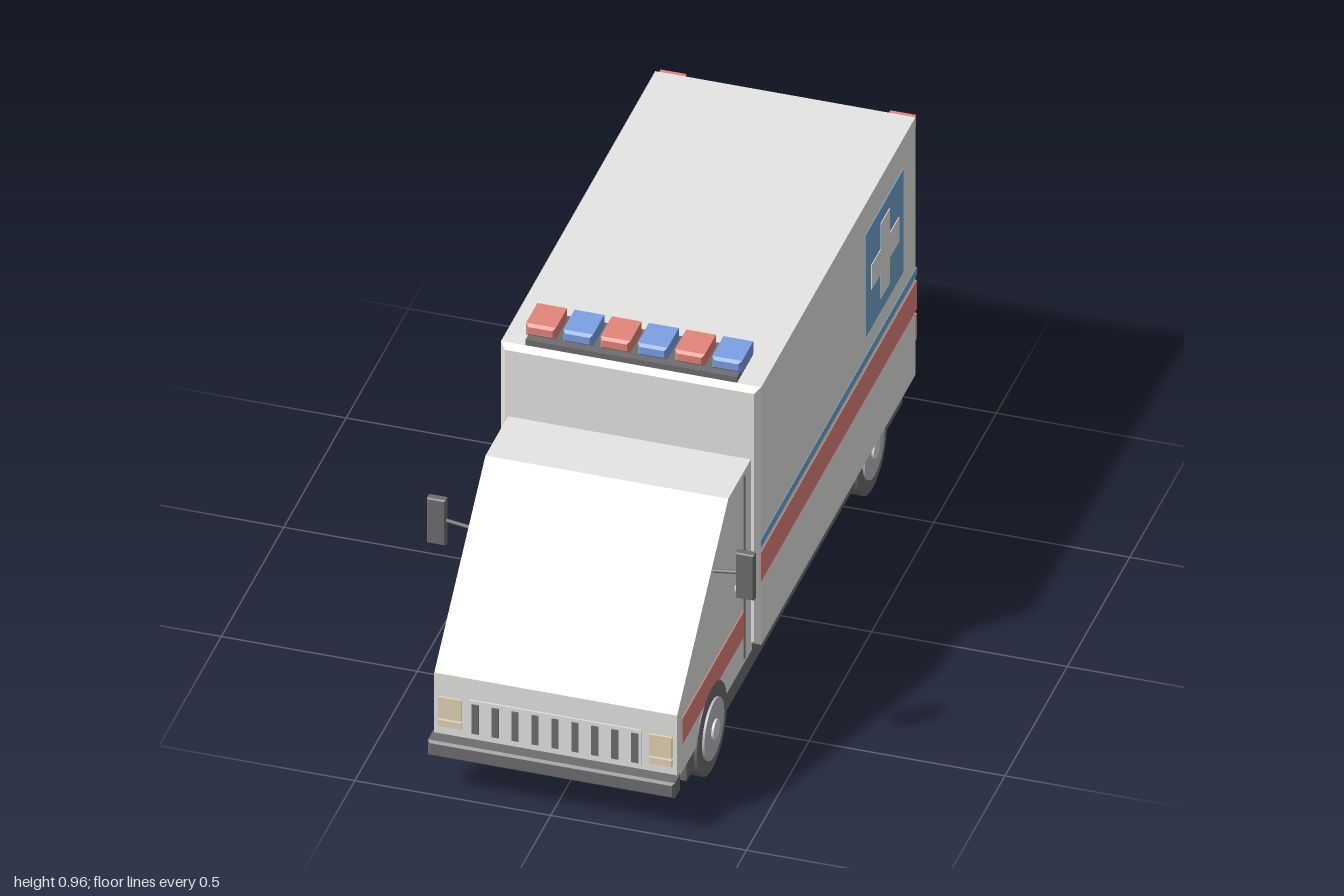
import * as THREE from 'three';

const paint = (name, color) => {
  const m = new THREE.MeshStandardMaterial({ color });
  m.name = name;
  return m;
};

export function createModel() {
  const white = paint('body white', 0xe6e6e3);
  const red = paint('signal red', 0xe2857b);
  const blue = paint('stripe blue', 0x74a6cf);
  const lampBlue = paint('lamp blue', 0x7da0e4);
  const dark = paint('dark grey', 0x6e6e71);
  const cream = paint('headlight cream', 0xe3d4b4);
  const steel = paint('hub steel', 0xbdbdc3);
  const silver = paint('hub cap silver', 0xdcdce0);

  const model = new THREE.Group();
  model.name = 'ambulance';

  const add = (name, geometry, material, x = 0, y = 0, z = 0) => {
    const mesh = new THREE.Mesh(geometry, material);
    mesh.name = name;
    mesh.position.set(x, y, z);
    model.add(mesh);
    return mesh;
  };
  // Plain box given by its minimum and maximum corners
  const block = (name, mat, x0, x1, y0, y1, z0, z1) =>
    add(name, new THREE.BoxGeometry(x1 - x0, y1 - y0, z1 - z0), mat,
      (x0 + x1) / 2, (y0 + y1) / 2, (z0 + z1) / 2);
  // Same, mirrored onto both sides
  const pair = (name, mat, x0, x1, ...rest) => {
    block(name + 'Left', mat, x0, x1, ...rest);
    block(name + 'Right', mat, -x1, -x0, ...rest);
  };
  // Box with all edges cut at 45 degrees, centred on the origin
  const chamferBox = (w, h, d, c) => {
    const a = w / 2 - c, b = h / 2 - c;
    const shape = new THREE.Shape([[-a, -b], [a, -b], [a, b], [-a, b]]
      .map(([x, y]) => new THREE.Vector2(x, y)));
    const g = new THREE.ExtrudeGeometry(shape, {
      depth: d - 2 * c, bevelEnabled: true, bevelSize: c, bevelThickness: c, bevelSegments: 1,
    });
    return g.translate(0, 0, -d / 2 + c);
  };

  // Chassis, bumper and rear step
  block('chassis', dark, -0.305, 0.305, 0.08, 0.155, -0.86, 0.87);
  add('frontBumper', chamferBox(0.63, 0.045, 0.055, 0.006), dark, 0, 0.1325, 0.9725);
  block('rearStep', dark, -0.235, 0.235, 0.11, 0.14, -1, -0.895);
  pair('stepBracket', dark, 0.1, 0.14, 0.11, 0.135, -0.91, -0.84);

  // Cab, extruded from its side profile
  const profile = new THREE.Shape([[0.36, 0.14], [0.96, 0.14], [0.96, 0.33], [0.55, 0.703], [0.36, 0.703]]
    .map(([z, y]) => new THREE.Vector2(z, y)));
  const cab = new THREE.ExtrudeGeometry(profile, { depth: 0.62, bevelEnabled: false });
  cab.rotateY(-Math.PI / 2).translate(0.31, 0, 0);
  add('cab', cab, white);
  pair('cabStripe', red, 0.31, 0.313, 0.225, 0.3, 0.435, 0.925);
  pair('doorSeam', dark, 0.309, 0.3125, 0.155, 0.69, 0.42, 0.43);
  pair('cabDoorHandle', white, 0.31, 0.316, 0.4, 0.412, 0.46, 0.5);

  // Grille and headlights
  block('grillePanel', white, -0.22, 0.22, 0.165, 0.27, 0.96, 0.964);
  for (let i = -4; i <= 4; i++) {
    block('grilleSlot', dark, i * 0.051 - 0.009, i * 0.051 + 0.009, 0.175, 0.26, 0.962, 0.967);
  }
  pair('headlight', cream, 0.24, 0.298, 0.205, 0.265, 0.959, 0.966);
  pair('indicator', cream, 0.24, 0.298, 0.18, 0.198, 0.959, 0.966);

  // Patient compartment
  add('bodyBox', chamferBox(0.664, 0.755, 1.263, 0.014), white, 0, 0.5325, -0.2615);
  pair('sideRedStripe', red, 0.331, 0.334, 0.345, 0.43, -0.885, 0.362);
  pair('sideBlueStripe', blue, 0.331, 0.334, 0.445, 0.468, -0.885, 0.362);

  // Cross sign on each side
  pair('signPanel', blue, 0.331, 0.335, 0.525, 0.825, -0.775, -0.475);
  const arm = 0.11, half = 0.036;
  const cross = new THREE.Shape([[-half, -arm], [half, -arm], [half, -half], [arm, -half], [arm, half], [half, half],
    [half, arm], [-half, arm], [-half, half], [-arm, half], [-arm, -half], [-half, -half]]
    .map(([x, y]) => new THREE.Vector2(x, y)));
  for (const s of [1, -1]) {
    const plate = new THREE.ExtrudeGeometry(cross, { depth: 0.004, bevelEnabled: false });
    add('signCross', plate, white, s * 0.333, 0.675, -0.625).rotation.y = s * Math.PI / 2;
  }

  // Rear doors, handles and lamps
  block('rearDoorGap', dark, -0.006, 0.006, 0.18, 0.87, -0.8955, -0.892);
  pair('rearDoor', white, 0.006, 0.29, 0.18, 0.87, -0.895, -0.892);
  pair('rearDoorPanel', white, 0.07, 0.235, 0.58, 0.78, -0.898, -0.894);
  pair('rearStripe', red, 0.006, 0.325, 0.345, 0.43, -0.8975, -0.892);
  pair('rearHandle', white, 0.022, 0.042, 0.455, 0.512, -0.91, -0.894);
  pair('upperRearLamp', red, 0.26, 0.326, 0.865, 0.9, -0.904, -0.885);
  pair('lowerRearLamp', red, 0.283, 0.328, 0.245, 0.32, -0.904, -0.885);

  // Roof light bar
  block('lightBarBase', dark, -0.27, 0.27, 0.908, 0.926, 0.225, 0.355);
  for (let i = 0; i < 6; i++) {
    add('beacon', chamferBox(0.076, 0.034, 0.104, 0.007), i % 2 ? lampBlue : red,
      (i - 2.5) * 0.095, 0.943, 0.287);
  }

  // Mirrors on thin arms
  for (const s of [1, -1]) {
    add('mirror', chamferBox(0.047, 0.132, 0.022, 0.003), dark, s * 0.394, 0.576, 0.672);
    const path = new THREE.LineCurve3(new THREE.Vector3(s * 0.305, 0.57, 0.672), new THREE.Vector3(s * 0.38, 0.58, 0.672));
    add('mirrorArm', new THREE.TubeGeometry(path, 1, 0.005, 8), dark);
  }

  // Wheels: single in front, double at the rear
  const disc = (name, mat, r, x0, x1, z, s) =>
    add(name, new THREE.CylinderGeometry(r, r, x1 - x0, 32).rotateZ(Math.PI / 2), mat, s * (x0 + x1) / 2, 0.12, z);
  for (const s of [1, -1]) {
    for (const z of [0.69, -0.595]) {
      disc('tyre', dark, 0.12, 0.246, 0.313, z, s);
      disc('hub', steel, 0.08, 0.3, 0.319, z, s);
      disc('hubCap', silver, 0.026, 0.31, 0.325, z, s);
    }
    disc('innerRearTyre', dark, 0.12, 0.173, 0.24, -0.595, s);
    disc('rearAxle', dark, 0.03, 0, 0.25, -0.595, s);
  }
  return model;
}
